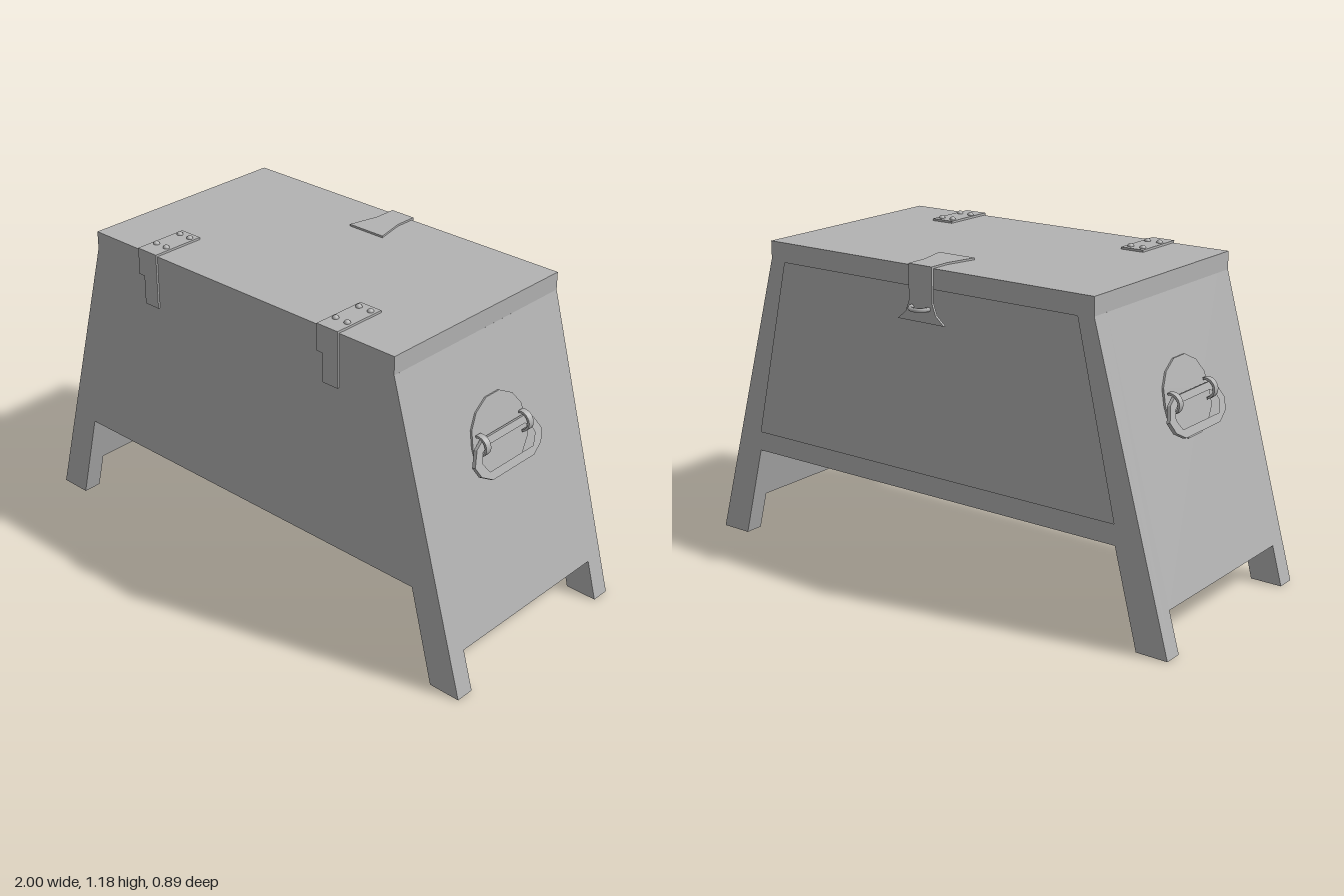
import * as THREE from 'three';

const grey = new THREE.MeshStandardMaterial({ color: 0xb2b2b2 });
grey.name = 'plain grey';

const SLOPE = 0.2785;                       // outward lean of the end walls
const wallX = y => 1 - y * SLOPE;
const legInnerX = y => 0.88 - y * 0.257;
const Z_FRONT = 0.44, Z_BACK = -0.395, LID_Y = 1.095, TOP_Y = 1.16;

function add(parent, name, geometry) {
  const mesh = new THREE.Mesh(geometry, grey);
  mesh.name = name;
  parent.add(mesh);
  return mesh;
}

const toShape = pts => new THREE.Shape(pts.map(p => new THREE.Vector2(...p)));

// Points of the right half, top to bottom, mirrored into a closed outline
const mirrored = half => [...half, ...half.map(([x, y]) => [-x, y]).reverse()];

// Plate between two z values
function slab(shape, z0, z1) {
  return new THREE.ExtrudeGeometry(shape, { depth: z1 - z0, bevelEnabled: false, curveSegments: 12 })
    .translate(0, 0, z0);
}

// Chest end profile with legs reaching down to footY
const bodyShape = footY => toShape(mirrored([
  [wallX(LID_Y), LID_Y], [wallX(footY), footY],
  [legInnerX(footY), footY], [legInnerX(0.35), 0.35],
]));

function addChest(model) {
  // Front legs, notched middle, back legs and the framed back layer
  add(model, 'frontWallAndLegs', slab(bodyShape(0), 0.37, Z_FRONT));
  add(model, 'chestMiddle', slab(bodyShape(0.145), -0.325, 0.37));
  add(model, 'backPanelAndLegs', slab(bodyShape(0), -0.37, -0.325));
  const frame = bodyShape(0);
  frame.holes.push(new THREE.Path([[0.632, 1.088], [0.785, 0.424], [-0.785, 0.424], [-0.632, 1.088]]
    .map(p => new THREE.Vector2(...p))));
  add(model, 'backFrame', slab(frame, Z_BACK, -0.37));

  const lid = add(model, 'lid', new THREE.BoxGeometry(1.39, TOP_Y - LID_Y, Z_FRONT - Z_BACK));
  lid.position.set(0, (TOP_Y + LID_Y) / 2, (Z_FRONT + Z_BACK) / 2);
}

function makeHinge(x) {
  const hinge = new THREE.Group();
  hinge.name = 'hinge';
  hinge.position.x = x;
  // Leaf on the lid
  add(hinge, 'hingeTopLeaf', new THREE.BoxGeometry(0.09, 0.008, 0.207))
    .position.set(0, TOP_Y + 0.004, 0.3435);
  // Leaf hanging down the front, narrower below
  add(hinge, 'hingeFrontLeaf', slab(toShape([
    [-0.045, TOP_Y + 0.008], [-0.045, 1.07], [-0.02, 1.07], [-0.02, 0.965],
    [0.045, 0.965], [0.045, TOP_Y + 0.008],
  ]), Z_FRONT, 0.447));
  for (const sx of [-0.025, 0.025]) for (const z of [0.27, 0.38]) {
    const screw = add(hinge, 'hingeScrew', new THREE.SphereGeometry(0.012, 10, 4, 0, Math.PI * 2, 0, Math.PI / 2));
    screw.position.set(sx, TOP_Y + 0.007, z);
  }
  return hinge;
}

function makeHasp() {
  const hasp = new THREE.Group();
  hasp.name = 'hasp';
  // Flared plate on the lid
  const top = slab(toShape(mirrored([[0.05, 0.403], [0.05, 0.32], [0.077, 0.205]])), 0, 0.007);
  add(hasp, 'haspTopPlate', top.rotateX(-Math.PI / 2)).position.y = TOP_Y;
  // Strap folded over the back edge
  add(hasp, 'haspStrap', slab(toShape(mirrored([
    [0.05, TOP_Y + 0.007], [0.05, 1.04], [0.065, 1.0], [0.1, 0.97],
  ])), -0.404, Z_BACK));
  // Half ring for the padlock
  const staple = add(hasp, 'haspStaple', new THREE.TorusGeometry(0.036, 0.008, 6, 12, Math.PI));
  staple.rotation.x = -Math.PI / 2;
  staple.position.set(0, 1.02, -0.404);
  return hasp;
}

// Handle made in the plane of a wall: x along it, y up it, z outward
function makeHandle() {
  const handle = new THREE.Group();
  handle.name = 'sideHandle';
  add(handle, 'handleBackPlate', slab(toShape(mirrored([
    [0.035, 0.14], [0.095, 0.108], [0.13, 0.06], [0.14, 0.0],
    [0.135, -0.06], [0.09, -0.11], [0.04, -0.133],
  ])), 0, 0.007));

  // Flat grip ring, hanging slightly away from the wall
  const ring = toShape(mirrored([
    [0.11, 0.024], [0.15, 0.002], [0.178, -0.05], [0.158, -0.09], [0.11, -0.118],
  ]));
  ring.holes.push(new THREE.Path(mirrored([
    [0.1, -0.002], [0.128, -0.018], [0.14, -0.05], [0.115, -0.088],
  ]).map(p => new THREE.Vector2(...p))));
  const grip = add(handle, 'handleGrip', slab(ring, -0.007, 0.007));
  grip.position.z = 0.026;
  grip.rotation.x = -0.08;

  // Two curved straps holding the grip
  for (const x of [-0.113, 0.113]) {
    const strap = new THREE.Shape();
    strap.absarc(0, 0, 0.038, -Math.PI / 2, Math.PI / 2, false);
    strap.absarc(0, 0, 0.03, Math.PI / 2, -Math.PI / 2, true);
    const loop = add(handle, 'handleStrap', slab(strap, -0.012, 0.012));
    loop.rotation.y = -Math.PI / 2;         // bulge of the strap faces outward
    loop.position.set(x, 0.003, 0.014);
  }
  return handle;
}

export function createModel() {
  const model = new THREE.Group();
  model.name = 'chest';
  addChest(model);
  for (const x of [-0.425, 0.42]) model.add(makeHinge(x));
  model.add(makeHasp());

  // One handle on each leaning end wall
  const lean = Math.atan(SLOPE), c = Math.cos(lean), s = Math.sin(lean);
  for (const turn of [0, Math.PI]) {
    const side = new THREE.Group();
    side.name = turn ? 'rightEnd' : 'leftEnd';
    side.position.z = 0.02;
    side.rotation.y = turn;
    const handle = makeHandle();
    handle.quaternion.setFromRotationMatrix(new THREE.Matrix4().makeBasis(
      new THREE.Vector3(0, 0, -1), new THREE.Vector3(-s, c, 0), new THREE.Vector3(c, s, 0)));
    handle.position.set(wallX(0.75), 0.75, 0);
    side.add(handle);
    model.add(side);
  }

  // Centre front to back
  model.children.forEach(part => { part.position.z -= 0; });
  return model;
}
